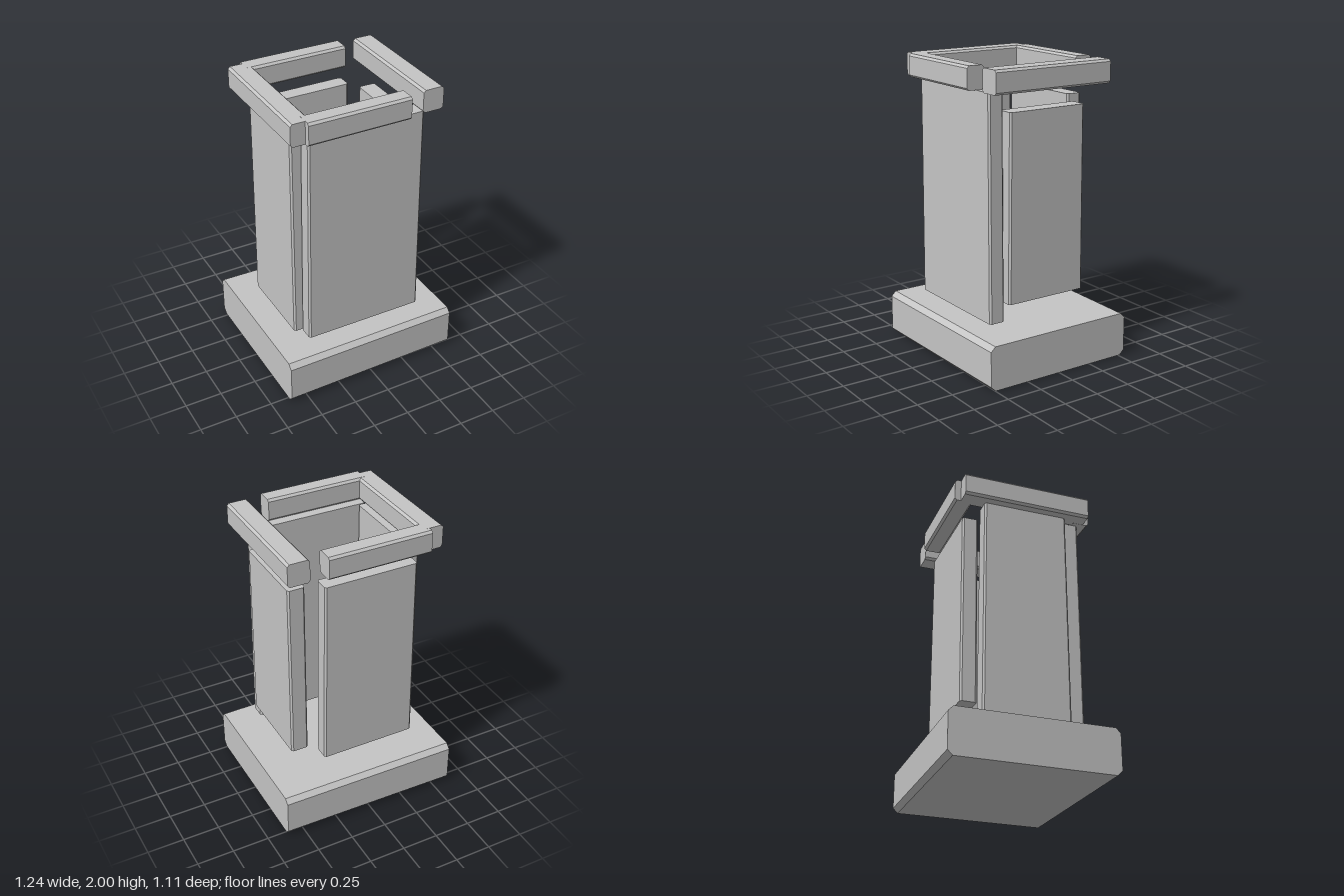
import * as THREE from 'three';

const stone = new THREE.MeshStandardMaterial({ color: 0xc4c4c4 });
stone.name = 'grey stone';

// Bar with a chamfered rectangular section, running along one axis and narrowing to its far end.
function chamferedBar(name, axis, min, max, chamfer, taper) {
  const size = max.map((v, i) => v - min[i]);
  const [w, h, len] = {
    x: [size[2], size[1], size[0]],
    y: [size[0], size[2], size[1]],
    z: [size[0], size[1], size[2]],
  }[axis];
  const a = w / 2, b = h / 2, c = chamfer;
  const section = new THREE.Shape([
    [a - c, -b], [a, c - b], [a, b - c], [a - c, b],
    [c - a, b], [-a, b - c], [-a, c - b], [c - a, -b],
  ].map(([x, y]) => new THREE.Vector2(x, y)));
  const geo = new THREE.ExtrudeGeometry(section, { depth: len, bevelEnabled: false });
  const pos = geo.attributes.position;
  for (let i = 0; i < pos.count; i++) {
    if (pos.getZ(i) > len / 2) pos.setXY(i, pos.getX(i) * taper, pos.getY(i) * taper);
  }
  geo.translate(0, 0, -len / 2);
  if (axis === 'x') geo.rotateY(Math.PI / 2);
  if (axis === 'y') geo.rotateX(-Math.PI / 2);
  geo.computeVertexNormals();
  const mesh = new THREE.Mesh(geo, stone);
  mesh.name = name;
  mesh.position.set(...min.map((v, i) => (v + max[i]) / 2));
  return mesh;
}

export function createModel() {
  const model = new THREE.Group();
  model.name = 'stone pedestal';

  // Plinth
  model.add(chamferedBar('plinth', 'x', [-0.62, 0, -0.556], [0.617, 0.307, 0.553], 0.033, 0.97));

  // Four upright slabs around a hollow core
  const slabs = [
    ['frontSlab', [-0.41, 0.36, 0.3], [0.42, 1.845, 0.41]],
    ['backSlab', [-0.387, 0.445, -0.41], [0.275, 1.755, -0.3]],
    ['leftSlab', [0.34, 0.48, -0.295], [0.46, 1.72, 0.29]],
    ['rightSlab', [-0.465, 0.36, -0.29], [-0.345, 1.845, 0.3]],
  ];
  for (const [name, min, max] of slabs) {
    model.add(chamferedBar(name, 'y', min, max, 0.012, 0.975));
  }

  // Rim of four beams
  const beams = [
    ['frontBeam', 'x', [-0.43, 1.845, 0.352], [0.275, 2, 0.477]],
    ['backBeam', 'x', [-0.43, 1.845, -0.482], [0.275, 2, -0.355]],
    ['leftBeam', 'z', [0.38, 1.845, -0.44], [0.528, 2, 0.435]],
    ['rightBeam', 'z', [-0.53, 1.845, -0.44], [-0.385, 2, 0.435]],
  ];
  for (const [name, axis, min, max] of beams) {
    model.add(chamferedBar(name, axis, min, max, 0.015, 0.985));
  }
  return model;
}
